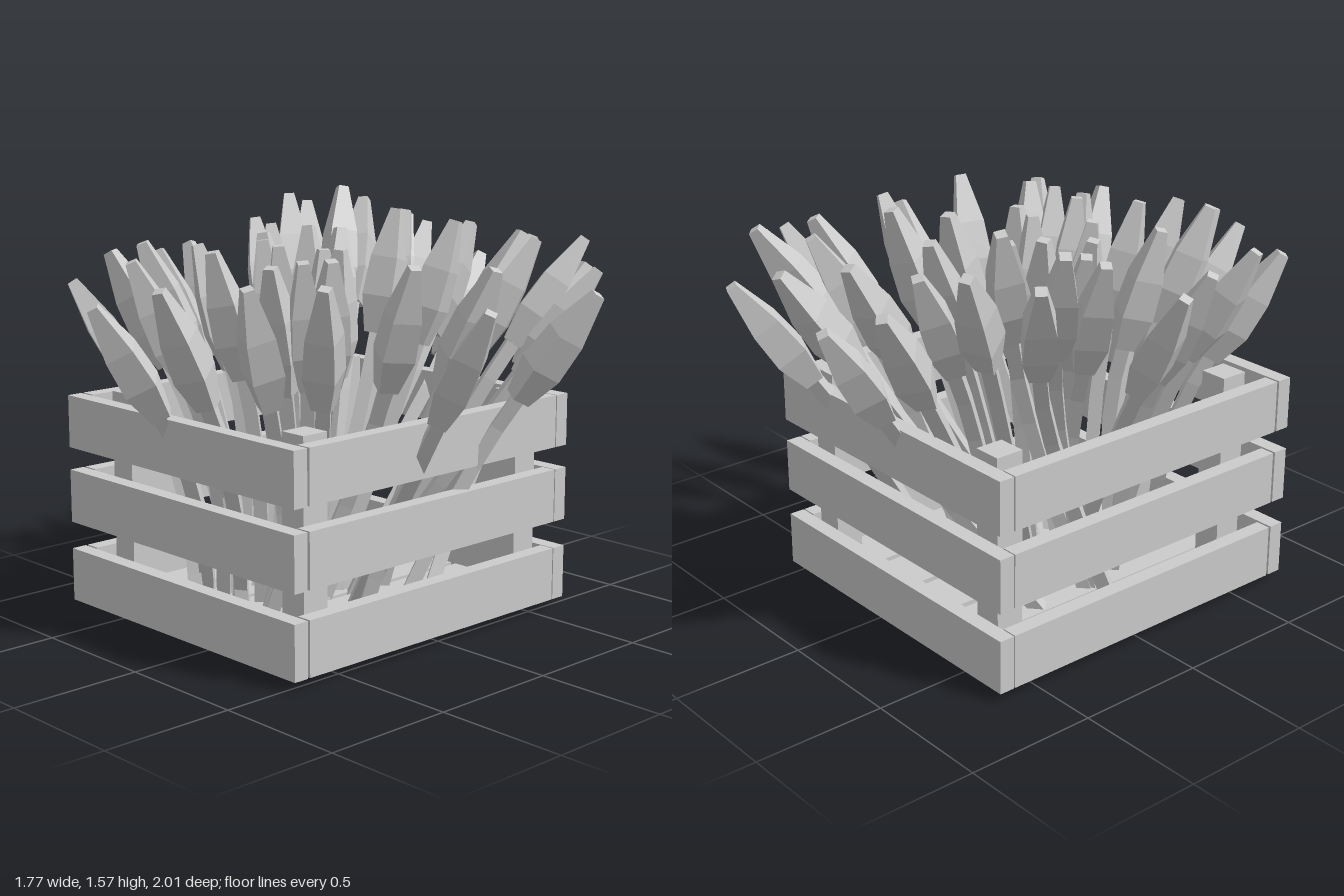
import * as THREE from 'three';

const wood = new THREE.MeshStandardMaterial({ color: 0xcccccc, flatShading: true });
const plant = new THREE.MeshStandardMaterial({ color: 0xcccccc, flatShading: true, side: THREE.DoubleSide });

// Box given by its minimum and maximum corners
function slab(parent, name, [x0, y0, z0], [x1, y1, z1]) {
  const mesh = new THREE.Mesh(new THREE.BoxGeometry(x1 - x0, y1 - y0, z1 - z0), wood);
  mesh.position.set((x0 + x1) / 2, (y0 + y1) / 2, (z0 + z1) / 2);
  mesh.name = name;
  parent.add(mesh);
}

function createCrate() {
  const crate = new THREE.Group();
  crate.name = 'crate';
  // Three rows of slats on each side
  for (const [y0, y1] of [[0.03, 0.235], [0.34, 0.545], [0.632, 0.833]]) {
    slab(crate, 'frontSlat', [-0.737, y0, 0.67], [0.53, y1, 0.73]);
    slab(crate, 'backSlat', [-0.737, y0, -0.665], [0.53, y1, -0.605]);
    slab(crate, 'rightSlat', [-0.737, y0, -0.6], [-0.677, y1, 0.66]);
    slab(crate, 'leftSlat', [0.47, y0, -0.6], [0.53, y1, 0.66]);
  }
  // Corner posts
  for (const x of [-0.62, 0.335]) {
    for (const z of [-0.58, 0.5]) slab(crate, 'cornerPost', [x, 0.04, z], [x + 0.11, 0.85, z + 0.11]);
  }
  // Floor boards
  for (let i = 0; i < 5; i++) {
    const x = -0.68 + i * 0.235;
    slab(crate, 'floorBoard', [x, 0.025, -0.6], [x + 0.21, 0.065, 0.66]);
  }
  return crate;
}

// Tip of every bud, as x, y, z
const outerTips = [
  [-0.46, 1.38, -0.92], [-0.21, 1.27, -0.98], [0.13, 1.37, -0.92], [0.36, 1.28, -0.97],
  [0.51, 1.41, -0.77], [0.69, 1.32, -0.63], [0.86, 1.27, -0.42], [-0.58, 1.49, -0.67],
  [-0.78, 1.47, -0.53], [-0.68, 1.52, -0.34], [-0.87, 1.34, 0.03], [0.68, 1.37, -0.08],
  [0.85, 1.26, 0.13], [-0.76, 1.34, 0.27], [0.61, 1.4, 0.25], [-0.72, 1.36, 0.53],
  [-0.63, 1.28, 0.77], [-0.22, 1.25, 0.98], [0.01, 1.32, 0.87], [0.28, 1.34, 0.71],
  [0.51, 1.35, 0.57], [-0.3, 1.38, 0.75],
];
const innerTips = [
  [-0.36, 1.44, -0.7], [-0.08, 1.42, -0.78], [0.27, 1.42, -0.69], [-0.19, 1.48, -0.52],
  [0.46, 1.42, -0.55], [-0.46, 1.56, -0.43], [0.2, 1.48, -0.39], [-0.66, 1.44, -0.14],
  [-0.53, 1.43, -0.11], [-0.32, 1.44, -0.12], [-0.25, 1.43, -0.22], [-0.39, 1.42, 0.05],
  [-0.22, 1.42, 0.2], [0.02, 1.4, 0.12], [0.12, 1.41, 0.13], [-0.41, 1.4, 0.36],
  [-0.39, 1.43, 0.63], [-0.13, 1.41, 0.52], [0.34, 1.41, 0.38], [0.16, 1.38, 0.5],
  [0.01, 1.43, 0.33], [0.25, 1.4, 0.43], [-0.05, 1.51, -0.33],
];

const BUD_LENGTH = 0.48;
// Four-sided bud: narrow foot, swollen belly, small flat tip
const budGeometry = new THREE.LatheGeometry(
  [[0, 0], [0.05, 0], [0.084, 0.14], [0.075, 0.29], [0.028, 0.48], [0, 0.48]]
    .map(([r, y]) => new THREE.Vector2(r, y)), 4);

function createFlower(tip, index) {
  const flower = new THREE.Group();
  flower.name = 'flower';
  // Buds lean outward, more so the further they are from the middle
  const out = new THREE.Vector3(tip.x + 0.02, 0, tip.z - 0.1);
  const lean = Math.min(0.28, 0.28 * out.length());
  const axis = out.clone().normalize().multiplyScalar(lean);
  axis.y = Math.sqrt(BUD_LENGTH ** 2 - lean ** 2);
  axis.normalize();
  const foot = tip.clone().addScaledVector(axis, -BUD_LENGTH);

  const bud = new THREE.Mesh(budGeometry, plant);
  bud.name = 'bud';
  bud.position.copy(foot);
  bud.quaternion.setFromUnitVectors(new THREE.Vector3(0, 1, 0), axis);
  bud.rotateY(0.4 * Math.sin(index * 2.4));
  flower.add(bud);

  // Curved stem from the crowded middle of the floor into the bud; a few poke through
  const spread = 0.35 + 0.12 * Math.sin(index * 2.4);
  const root = out.clone().multiplyScalar(spread)
    .applyAxisAngle(new THREE.Vector3(0, 1, 0), 0.5 * Math.sin(index * 1.7));
  root.add(new THREE.Vector3(-0.11, index % 12 === 3 ? 0.015 : 0.05, 0.17));
  const bend = foot.clone().addScaledVector(axis, -0.34);
  const path = new THREE.QuadraticBezierCurve3(root, bend, foot.clone().addScaledVector(axis, 0.03));
  const stem = new THREE.Mesh(new THREE.TubeGeometry(path, 6, 0.036, 4), plant);
  stem.name = 'stem';
  flower.add(stem);
  return flower;
}

export function createModel() {
  const model = new THREE.Group();
  model.name = 'flowerCrate';
  model.add(createCrate());
  const flowers = new THREE.Group();
  flowers.name = 'flowers';
  [...outerTips, ...innerTips].forEach((tip, i) => flowers.add(createFlower(new THREE.Vector3(...tip), i)));
  model.add(flowers);
  return model;
}
